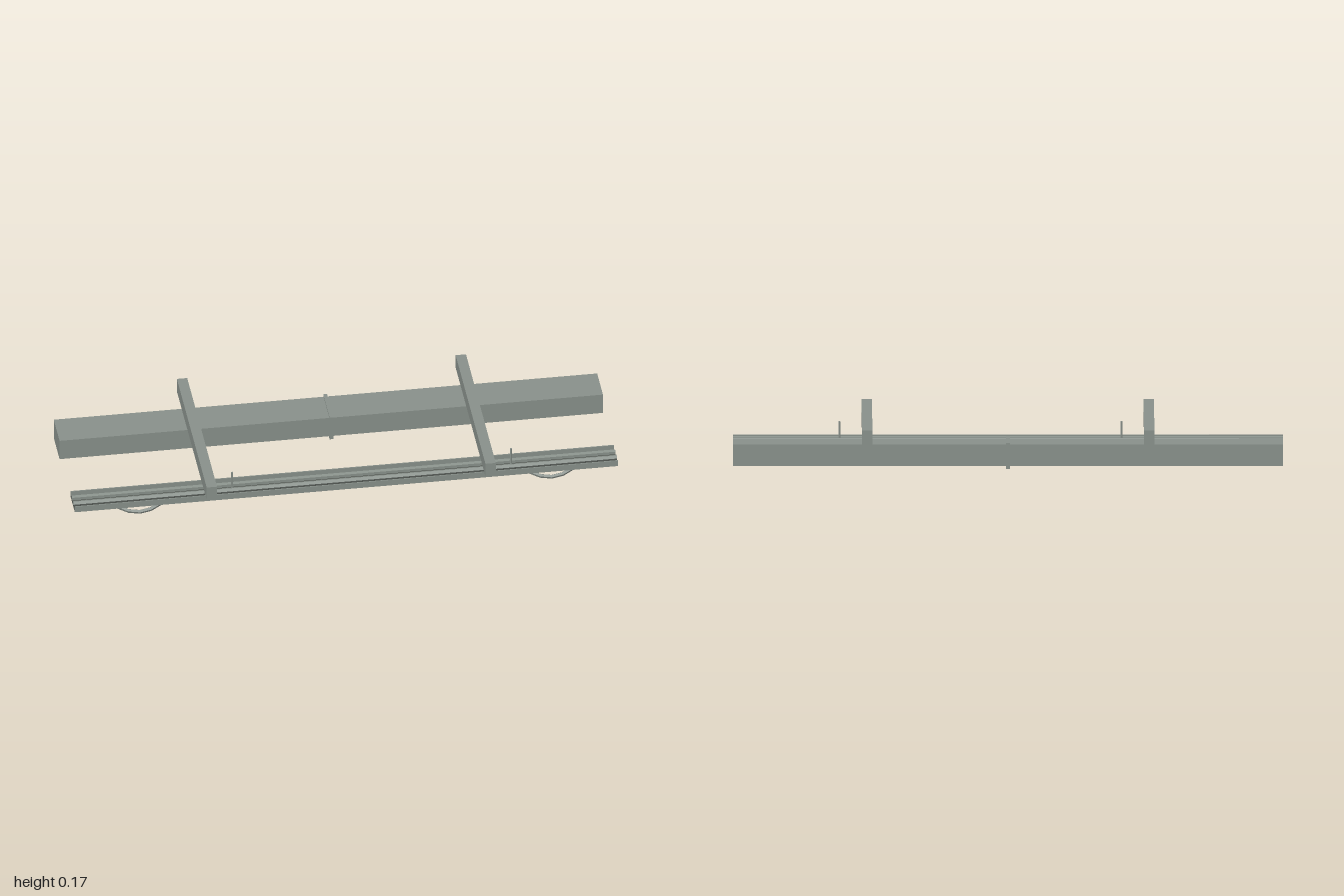
import * as THREE from 'three';

export function createModel() {
  const model = new THREE.Group();
  model.name = 'overheadServices';
  const grey = new THREE.MeshStandardMaterial({ color: 0x88908a });
  grey.name = 'galvanised grey';
  const dark = new THREE.MeshStandardMaterial({ color: 0x434742 });
  dark.name = 'dark tray lining';
  for (const material of [grey, dark]) material.flatShading = true;

  const add = (name, geometry, x, y, z, material = grey) => {
    const mesh = new THREE.Mesh(geometry, material);
    mesh.name = name;
    mesh.position.set(x, y, z);
    model.add(mesh);
  };
  const box = (name, w, h, d, x, y, z, material) =>
    add(name, new THREE.BoxGeometry(w, h, d), x, y, z, material);
  const rod = (name, bottom, top, x, z) =>
    add(name, new THREE.CylinderGeometry(0.004, 0.004, top - bottom, 6), x, (bottom + top) / 2, z);

  // Rectangular air duct with a joint collar in the middle
  box('duct', 2, 0.08, 0.14, 0, 0.068, -0.192);
  box('ductCollar', 0.014, 0.095, 0.155, 0, 0.0665, -0.192);

  // Cable tray: shallow channel with a dark lined floor
  box('trayBase', 2, 0.003, 0.105, 0, 0.0405, 0.193);
  box('trayLining', 2, 0.001, 0.097, 0, 0.0425, 0.193, dark);
  for (const side of [-1, 1]) {
    box('trayFlange', 2, 0.0235, 0.004, 0, 0.05075, 0.193 + side * 0.0505);

    // Five-sided cables lying in the tray
    const cable = new THREE.CylinderGeometry(0.0095, 0.0095, 2, 5);
    cable.rotateY(side > 0 ? 0 : Math.PI);
    cable.rotateZ(Math.PI / 2);
    add('cable', cable, 0, 0.0535, 0.191 + side * 0.0175);
  }

  for (const side of [-1, 1]) {
    // Cross beams and their hangers
    box('crossBeam', 0.038, 0.055, 0.718, side * 0.513, 0.1475, 0);
    rod('ductHanger', 0.106, 0.122, side * 0.513, -0.192);
    rod('trayHanger', 0.04, 0.12, side * 0.513 + 0.1, 0.193);

    // Loose cable loops sagging below the tray, swung towards the front
    const points = [];
    for (let i = 0; i <= 6; i++) {
      const t = i / 3 - 1;
      const sag = 1 - t * t;
      points.push(new THREE.Vector3(side * 0.758 + t * 0.11, 0.041 - sag * 0.0335, 0.193 + sag * 0.038));
    }
    add('saggingCable', new THREE.TubeGeometry(new THREE.CatmullRomCurve3(points), 6, 0.0075, 5), 0, 0, 0);
  }
  return model;
}
